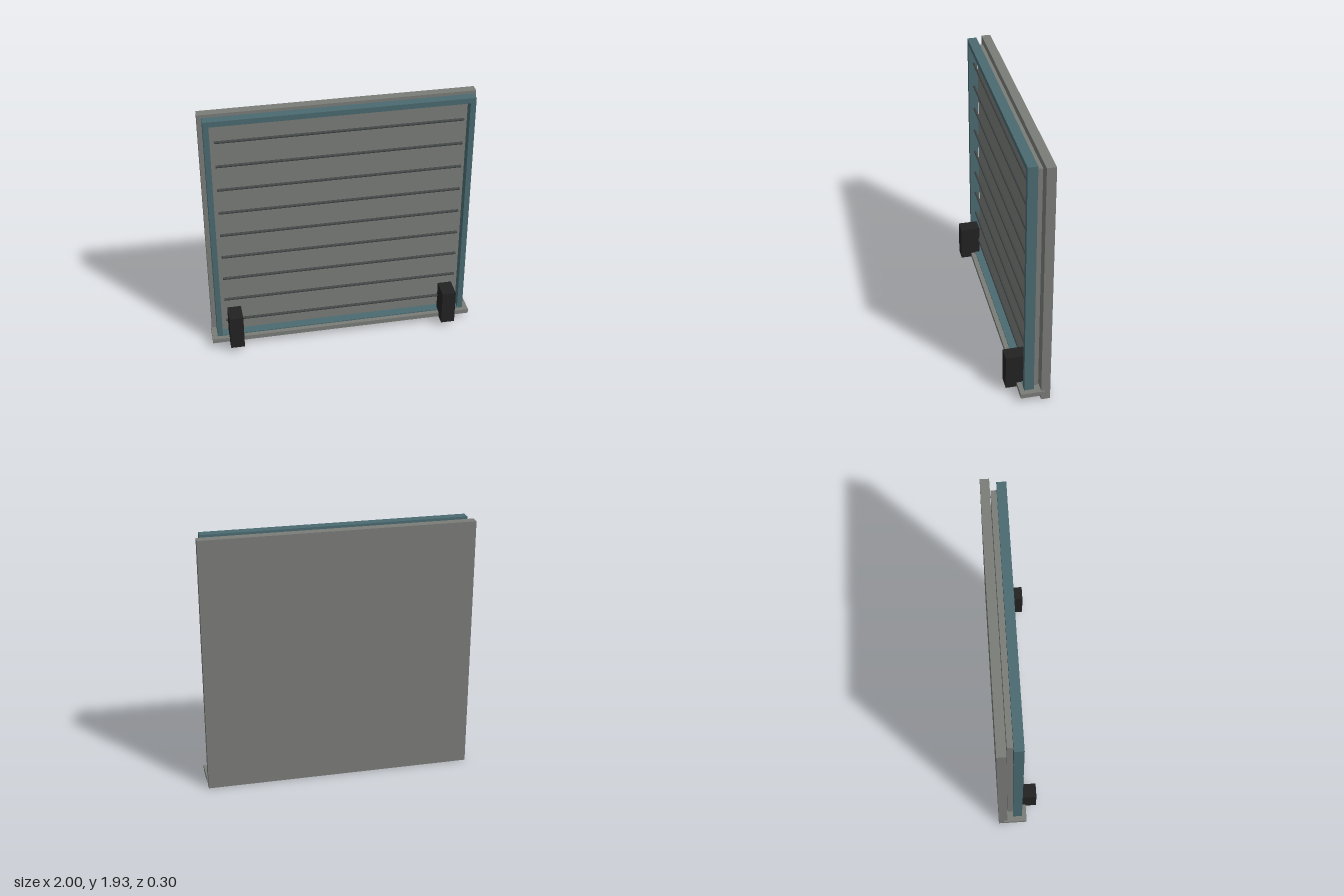
import * as THREE from 'three';

const material = (name, color) => {
  const m = new THREE.MeshStandardMaterial({ color });
  m.name = name;
  return m;
};

export function createModel() {
  const grey = material('grey', 0x7a7c78);
  const teal = material('teal', 0x4a6a70);
  const slate = material('dark slate', 0x444848);
  const black = material('black', 0x222222);

  const model = new THREE.Group();
  model.name = 'framedPanel';

  // Box given by its lower and upper limits on each axis
  const box = (name, mat, [x0, x1], [y0, y1], [z0, z1], parent = model) => {
    const mesh = new THREE.Mesh(new THREE.BoxGeometry(x1 - x0, y1 - y0, z1 - z0), mat);
    mesh.position.set((x0 + x1) / 2, (y0 + y1) / 2, (z0 + z1) / 2);
    mesh.name = name;
    parent.add(mesh);
  };

  // Back wall, inner panel and bottom sill
  box('backPanel', grey, [-0.99, 0.99], [0, 1.925], [-0.148, -0.082]);
  box('innerPanel', grey, [-0.92, 0.92], [0.08, 1.885], [-0.077, -0.036]);
  box('sill', grey, [-1, 1], [0.045, 0.08], [-0.11, 0.068]);

  // Rectangular frame with an open centre
  const outline = new THREE.Shape();
  outline.moveTo(-0.96, 0.05).lineTo(0.96, 0.05).lineTo(0.96, 1.927).lineTo(-0.96, 1.927).closePath();
  const opening = new THREE.Path();
  opening.moveTo(-0.92, 0.087).lineTo(-0.92, 1.887).lineTo(0.92, 1.887).lineTo(0.92, 0.087).closePath();
  outline.holes.push(opening);
  const frame = new THREE.Mesh(
    new THREE.ExtrudeGeometry(outline, { depth: 0.069, bevelEnabled: false }), teal);
  frame.position.z = -0.035;
  frame.name = 'frame';
  model.add(frame);

  // Evenly spaced thin rods across the opening
  const rods = new THREE.Group();
  rods.name = 'rods';
  const rodGeometry = new THREE.CylinderGeometry(0.01, 0.01, 1.775, 8).rotateZ(Math.PI / 2);
  for (let i = 0; i < 9; i++) {
    const rod = new THREE.Mesh(rodGeometry, slate);
    rod.position.set(0, 0.203 + i * 0.193, 0);
    rod.name = 'rod';
    rods.add(rod);
  }
  model.add(rods);

  // Pair of blocks on the lower front
  for (const [name, x] of [['rightBlock', -0.82], ['leftBlock', 0.815]]) {
    box(name, black, [x - 0.052, x + 0.052], [0.045, 0.317], [-0.002, 0.148]);
  }

  return model;
}
